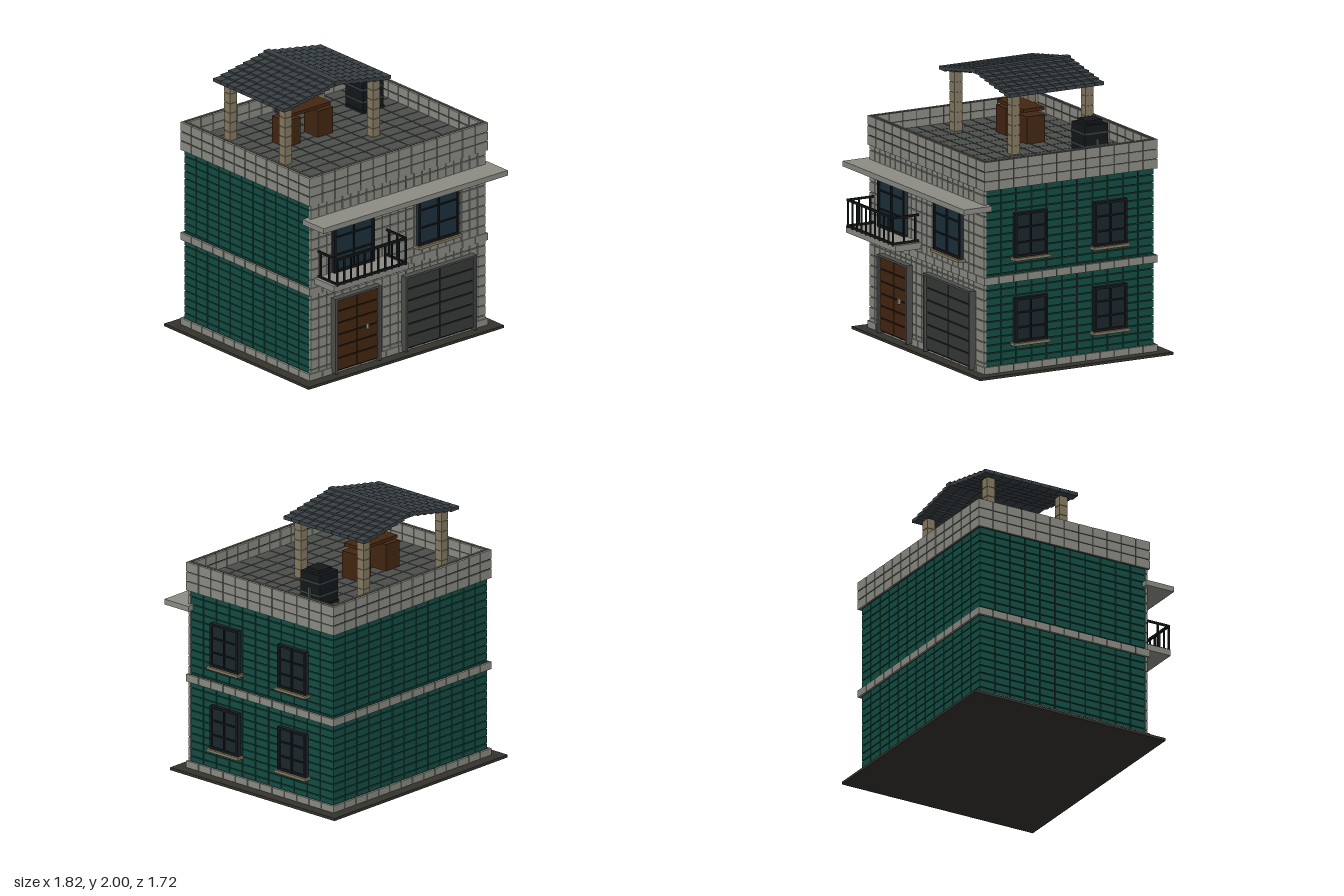
import * as THREE from 'three';
import { mergeGeometries } from 'three/addons/utils/BufferGeometryUtils.js';

const C = {
  grout: 0x34322d, stone: 0x8c8c85, green: 0x124d43, paving: 0x4c4e4c, slate: 0x394044, black: 0x14181a,
  glass: 0x1c303b, darkGlass: 0x1a262c, wood: 0x432611, beige: 0x857a62, shutter: 0x363939, frame: 0x4d4f4d,
};
const mats = {};
const mat = (c) => (mats[c] ??= new THREE.MeshStandardMaterial({ color: c, roughness: 0.9 }));

// box geometry from min/max corners
function boxGeo(x0, x1, y0, y1, z0, z1) {
  return new THREE.BoxGeometry(x1 - x0, y1 - y0, z1 - z0)
    .translate((x0 + x1) / 2, (y0 + y1) / 2, (z0 + z1) / 2);
}
function add(parent, name, color, geos) {
  const m = new THREE.Mesh(Array.isArray(geos) ? mergeGeometries(geos) : geos, mat(color));
  m.name = name;
  parent.add(m);
  return m;
}
const box = (parent, name, color, ...b) => add(parent, name, color, boxGeo(...b));

// grid of separate tiles facing local +z, front at z = d
function tileGeo(x0, x1, y0, y1, nx, ny, d, thick = 0.012, gap = 0.007) {
  const list = [], w = (x1 - x0) / nx, h = (y1 - y0) / ny, g = gap / 2;
  for (let i = 0; i < nx; i++) for (let j = 0; j < ny; j++) {
    list.push(boxGeo(x0 + i * w + (i ? g : 0), x0 + (i + 1) * w - (i < nx - 1 ? g : 0),
      y0 + j * h + (j ? g : 0), y0 + (j + 1) * h - (j < ny - 1 ? g : 0), d - thick, d));
  }
  return mergeGeometries(list);
}

// tiled strip around all four sides of the building
function tiledRing(parent, name, hx, hz, y0, y1, rows, inward = false) {
  const list = [];
  for (let k = 0; k < 4; k++) {
    const side = k % 2, half = side ? hz : hx, d = side ? hx : hz;
    const g = tileGeo(-half, half, y0, y1, side ? 12 : 14, rows, inward ? -d : d);
    list.push(g.rotateY(k * Math.PI / 2));
  }
  add(parent, name, C.stone, list);
}

// window in the local xy plane, back at z = 0
function windowUnit(name, w, h, glass, sill) {
  const g = new THREE.Group();
  g.name = name;
  const a = w / 2, t = 0.018, bars = [];
  box(g, 'glass', glass, -a, a, 0, h, 0, 0.022);
  for (const x of [-a + t / 2, 0, a - t / 2]) {
    const r = x ? t / 2 : 0.005;
    bars.push(boxGeo(x - r, x + r, 0, h, 0, 0.035));
  }
  for (let i = 0; i < 4; i++) {
    const r = i % 3 ? 0.005 : t / 2, y = i === 0 ? r : i === 3 ? h - r : h * i / 3;
    bars.push(boxGeo(-a, a, y - r, y + r, 0, 0.034));
  }
  add(g, 'windowFrame', C.black, bars);
  if (sill) box(g, 'sill', C.beige, -a - 0.015, a + 0.015, -0.02, 0, -0.01, 0.052);
  return g;
}

// double door of panels between side posts
function doorUnit(name, x0, x1, color) {
  const g = new THREE.Group(), z = 0.64;
  g.name = name;
  box(g, 'doorBacking', C.black, x0, x1, 0.04, 0.6, z, 0.665);
  add(g, 'doorPanels', color, tileGeo(x0, x1, 0.05, 0.59, 2, 6, 0.673, 0.01, 0.009));
  add(g, 'doorPosts', C.frame, [
    boxGeo(x0 - 0.02, x0, 0.03, 0.605, z, 0.69), boxGeo(x1, x1 + 0.02, 0.03, 0.605, z, 0.69),
    boxGeo(x0, x1, 0.59, 0.605, z, 0.69)]);
  return g;
}

function building() {
  const g = new THREE.Group();
  g.name = 'building';
  g.position.z = -0.065;
  box(g, 'core', C.grout, -0.8, 0.8, 0.02, 1.44, -0.68, 0.69);
  // front cladding, then green cladding on the other three sides
  add(g, 'frontTiles', C.stone, tileGeo(-0.815, 0.815, 0.02, 1.4, 22, 18, 0.705, 0.02));
  for (let k = 1; k < 4; k++) {
    const h = k % 2 ? 0.69 : 0.81, d = k % 2 ? 0.81 : 0.69;
    add(g, 'greenTiles', C.green, tileGeo(-h, h, 0.05, 1.37, k % 2 ? 11 : 13, 23, d)
      .rotateY(k * Math.PI / 2));
  }
  // plinth and floor band
  for (const [name, y0, y1] of [['plinth', 0.02, 0.07], ['floorBand', 0.67, 0.725]]) {
    box(g, name + 'Core', C.grout, -0.825, 0.825, y0 + 0.001, y1 - 0.001, -0.705, 0.705);
    tiledRing(g, name, 0.832, 0.712, y0, y1, 1);
  }
  // parapet wall with tiles outside and inside
  add(g, 'parapetCore', C.grout, [-1, 1].flatMap((s) => [
    boxGeo(Math.min(s * 0.795, s * 0.825), Math.max(s * 0.795, s * 0.825), 1.36, 1.57, -0.705, 0.705),
    boxGeo(-0.795, 0.795, 1.36, 1.57, Math.min(s * 0.675, s * 0.705), Math.max(s * 0.675, s * 0.705))]));
  tiledRing(g, 'parapetOuter', 0.832, 0.712, 1.36, 1.573, 3);
  tiledRing(g, 'parapetInner', 0.788, 0.668, 1.44, 1.573, 2, true);
  // terrace paving
  add(g, 'terracePaving', C.paving, tileGeo(-0.788, 0.788, -0.668, 0.668, 10, 12, 1.45)
    .rotateX(-Math.PI / 2));
  return g;
}

function balcony() {
  const g = new THREE.Group();
  g.name = 'balcony';
  box(g, 'balconySlab', C.stone, -0.78, -0.08, 0.75, 0.797, 0.63, 0.853);
  const bars = [], x0 = -0.755, x1 = -0.105, t = 0.012;
  for (let i = 0; i <= 10; i++) {
    const x = x0 + (x1 - x0 - t) * i / 10;
    bars.push(boxGeo(x, x + t, 0.79, 1, 0.848, 0.86));
  }
  for (const x of [x0, x1 - t]) {
    for (const z of [0.665, 0.757]) bars.push(boxGeo(x, x + t, 0.79, 1, z, z + t));
  }
  for (const y of [0.805, 0.995]) {
    bars.push(boxGeo(x0, x1, y - 0.008, y + 0.008, 0.845, 0.863));
    for (const x of [x0, x1 - t]) bars.push(boxGeo(x, x + t, y - 0.008, y + 0.008, 0.645, 0.85));
  }
  add(g, 'railing', C.black, bars);
  return g;
}

function pergola() {
  const g = new THREE.Group();
  g.name = 'pergola';
  // columns of stacked blocks
  for (const x of [-0.567, 0.253]) for (const z of [0.07, -0.535]) {
    const blocks = [boxGeo(x - 0.028, x + 0.028, 1.44, 1.89, z - 0.028, z + 0.028)];
    for (let i = 0; i < 6; i++) {
      const y = 1.445 + i * 0.0735;
      blocks.push(boxGeo(x - 0.033, x + 0.033, y, y + 0.068, z - 0.033, z + 0.033));
    }
    add(g, 'column', C.beige, blocks);
  }
  // overlapping roof tiles stepping up to the ridge
  const cx = -0.158, tiles = [];
  for (const s of [-1, 1]) for (let i = 0; i < 7; i++) {
    const a = cx + s * (0.5 - i * 0.07), b = a - s * 0.08, y = 1.886 + i * 0.0125;
    for (let j = 0; j < 10; j++) {
      const z = -0.62 + j * 0.078;
      tiles.push(boxGeo(Math.min(a, b), Math.max(a, b), y, y + 0.026, z, z + 0.074));
    }
  }
  add(g, 'roofTiles', C.slate, tiles);
  box(g, 'ridgeCap', C.slate, cx - 0.025, cx + 0.025, 1.965, 2, -0.625, 0.16);
  return g;
}

function waterTank() {
  const g = new THREE.Group();
  g.name = 'waterTank';
  const layer = (name, c, r, y0, y1) => box(g, name, c, 0.553 - r, 0.553 + r, y0, y1, -0.382 - r, -0.382 + r);
  layer('tankBase', C.black, 0.1, 1.44, 1.47);
  layer('tankBody', C.black, 0.095, 1.47, 1.69);
  layer('tankBand', C.slate, 0.098, 1.622, 1.634);
  layer('tankBand', C.slate, 0.098, 1.53, 1.542);
  layer('tankLid', C.black, 0.064, 1.69, 1.715);
  box(g, 'tankPipe', C.frame, 0.645, 0.665, 1.45, 1.585, -0.392, -0.372);
  return g;
}

export function createModel() {
  const model = new THREE.Group();
  model.name = 'house';
  box(model, 'groundSlab', C.grout, -0.912, 0.912, 0, 0.02, -0.86, 0.73);
  model.add(building());
  box(model, 'canopy', C.stone, -0.86, 0.86, 1.215, 1.255, 0.6, 0.833);

  // doors
  model.add(doorUnit('entranceDoor', -0.605, -0.22, C.wood), doorUnit('garageDoor', 0.05, 0.675, C.shutter));
  box(model, 'doorHandle', C.stone, -0.325, -0.315, 0.3, 0.34, 0.67, 0.695);

  // front windows
  for (const [name, x, sill] of [['balconyDoor', -0.442, false], ['frontWindow', 0.348, true]]) {
    const w = windowUnit(name, 0.375, 0.405, C.glass, sill);
    w.position.set(x, 0.805, 0.648);
    model.add(w);
  }
  // side windows, on the left wall only
  for (const z of [0.27, -0.385]) for (const y of [0.225, 0.848]) {
    const w = windowUnit('sideWindow', 0.27, 0.327, C.darkGlass, true);
    w.rotation.y = Math.PI / 2;
    w.position.set(0.815, y, z);
    model.add(w);
  }

  model.add(balcony(), pergola(), waterTank());
  // terrace table on two block legs
  box(model, 'tableTop', C.wood, -0.35, 0.03, 1.675, 1.7, -0.31, -0.14);
  for (const x of [-0.31, -0.01]) box(model, 'tableBlock', C.wood, x - 0.07, x + 0.07, 1.45, 1.65, -0.3, -0.15);
  return model;
}
